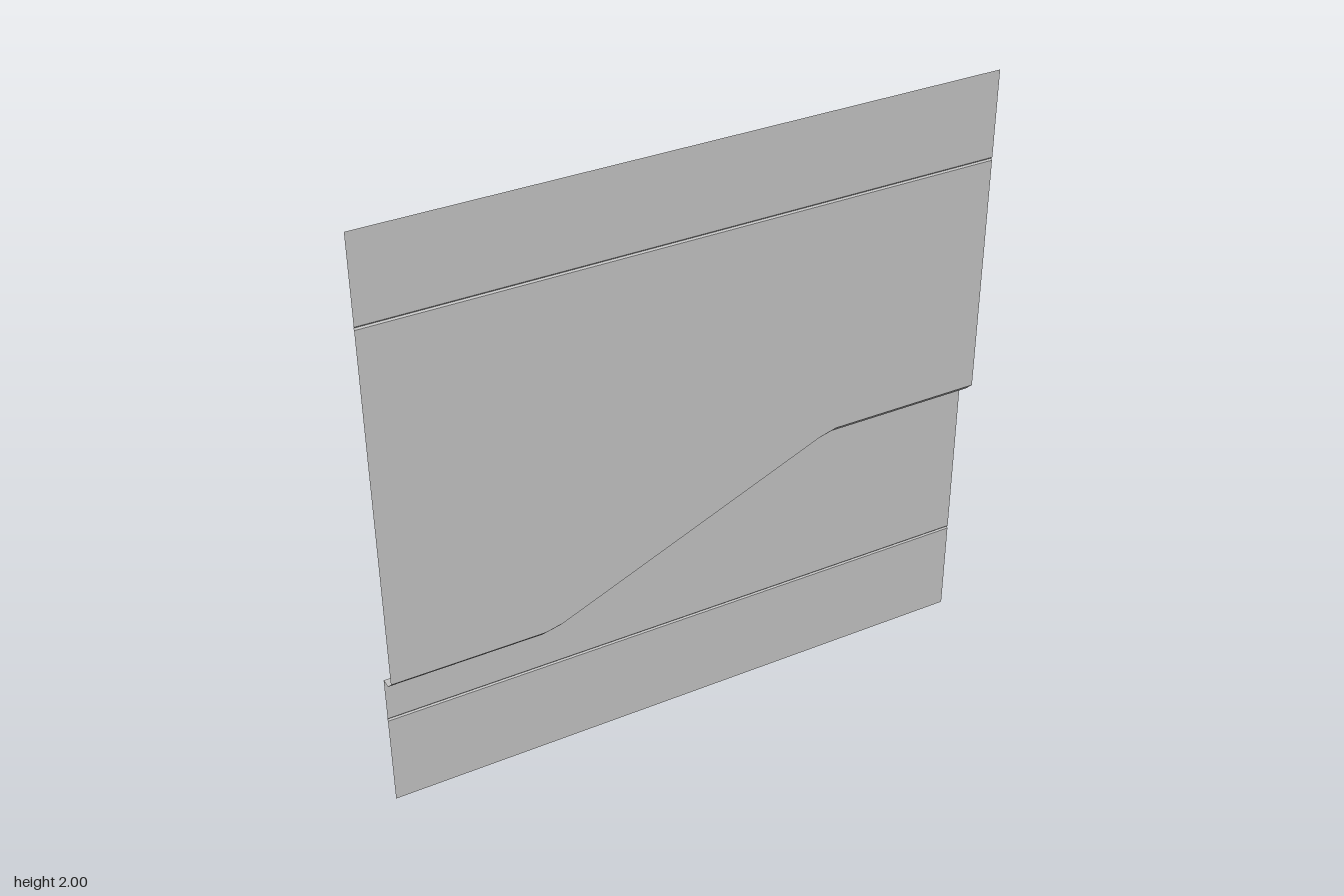
import * as THREE from 'three';

const FRONT = 0.033;   // plane of the upper sheet
const BACK = -0.03;    // plane of the lower sheet
const GROOVE = 0.004;  // depth of the V grooves

// Edges of the stepped ledge, from -x to +x
const UPPER = [[-1, 0.505], [-0.503, 0.505], [-0.447, 0.518], [0.44, 0.904], [0.497, 0.92], [1, 0.92]];
const LOWER = [[-1, 0.475], [-0.5, 0.475], [-0.438, 0.489], [0.449, 0.876], [0.5, 0.89], [1, 0.89]];

const edge = (path, z) => path.map(([x, y]) => [x, y, z]);
const level = (path, y, z) => path.map(([x]) => [x, y, z]);

// Flat-faced surface through successive rows of points, listed from top to bottom
function ribbon(rows) {
  const positions = [];
  for (let r = 0; r < rows.length - 1; r++) {
    const a = rows[r], b = rows[r + 1];
    for (let i = 0; i < a.length - 1; i++) {
      for (const p of [a[i], b[i], b[i + 1], a[i], b[i + 1], a[i + 1]]) positions.push(...p);
    }
  }
  const geometry = new THREE.BufferGeometry();
  geometry.setAttribute('position', new THREE.Float32BufferAttribute(positions, 3));
  geometry.computeVertexNormals();
  return geometry;
}

// Three rows forming a shallow V groove centred on height y
function groove(path, y, z) {
  return [level(path, y + 0.005, z), level(path, y, z - GROOVE), level(path, y - 0.005, z)];
}

export function createModel() {
  const group = new THREE.Group();
  group.name = 'steppedWallPanel';
  const grey = new THREE.MeshStandardMaterial({ color: 0xc4c4c4, side: THREE.DoubleSide });
  grey.name = 'lightGrey';

  const add = (name, rows) => {
    const mesh = new THREE.Mesh(ribbon(rows), grey);
    mesh.name = name;
    group.add(mesh);
  };

  // Upper sheet with its groove, ending at the ledge
  add('upperSheet', [level(UPPER, 2, FRONT), ...groove(UPPER, 1.715, FRONT), edge(UPPER, FRONT)]);

  // Sloping chamfer, then a shelf running back to the lower sheet
  add('ledgeChamfer', [edge(UPPER, FRONT), edge(LOWER, 0.003)]);
  add('ledgeShelf', [edge(LOWER, 0.003), edge(LOWER, BACK)]);

  // Lower sheet with its groove
  add('lowerSheet', [edge(LOWER, BACK), ...groove(LOWER, 0.32, BACK), level(LOWER, 0, BACK)]);

  return group;
}
